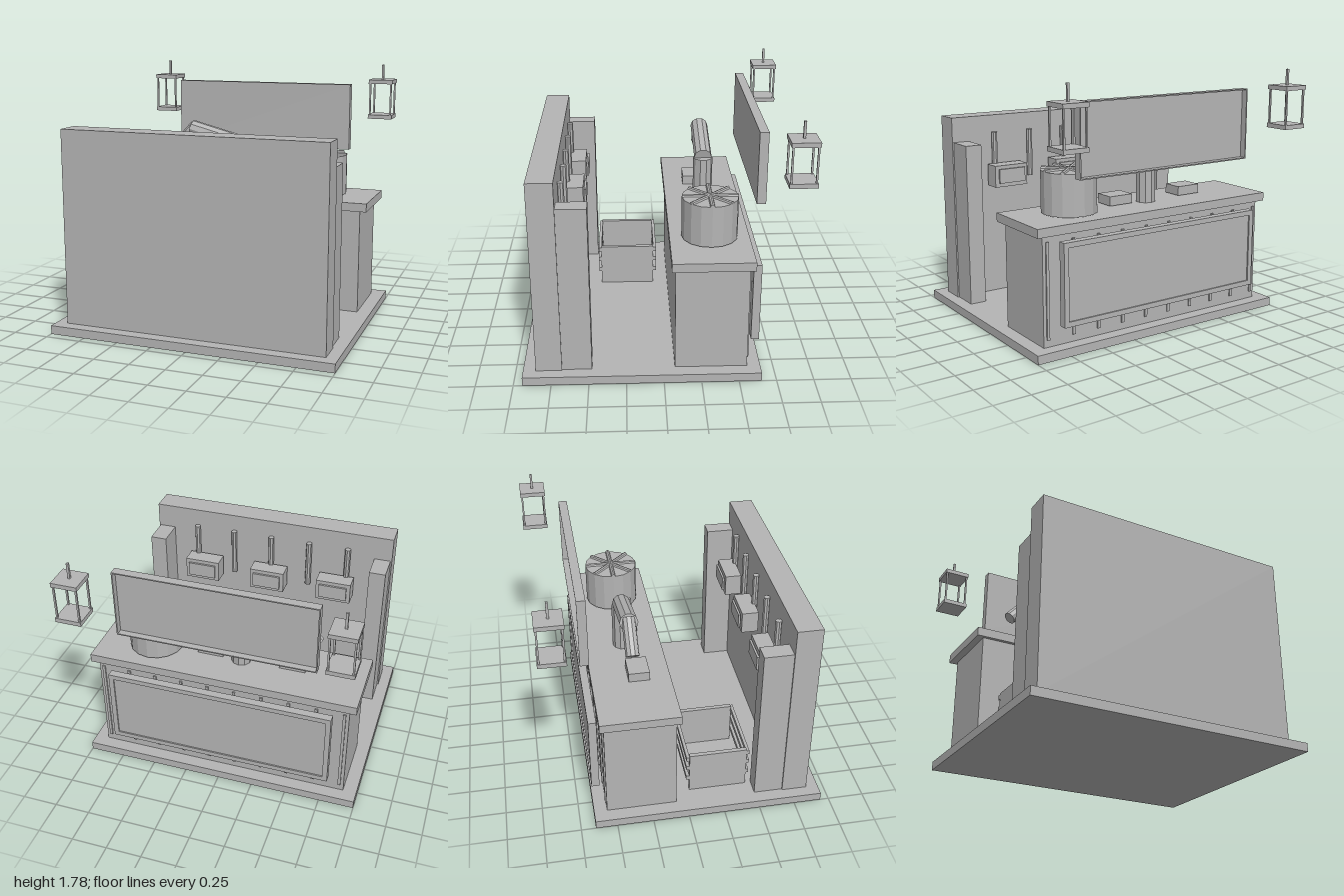
import * as THREE from 'three';

export function createModel() {
  const model = new THREE.Group();
  const grey = new THREE.MeshStandardMaterial({ color: 0xb4b4b4, flatShading: true });
  grey.name = 'plain grey';

  const add = (name, geometry, parent = model) => {
    const mesh = new THREE.Mesh(geometry, grey);
    mesh.name = name;
    parent.add(mesh);
    return mesh;
  };
  // Box given by its two opposite corners
  const box = (name, x0, x1, y0, y1, z0, z1, parent) => {
    const mesh = add(name, new THREE.BoxGeometry(x1 - x0, y1 - y0, z1 - z0), parent);
    mesh.position.set((x0 + x1) / 2, (y0 + y1) / 2, (z0 + z1) / 2);
    return mesh;
  };
  // Faceted rod between two points
  const rod = (name, a, b, radius, sides, parent) => {
    const from = new THREE.Vector3(...a), to = new THREE.Vector3(...b);
    const dir = to.clone().sub(from);
    const mesh = add(name, new THREE.CylinderGeometry(radius, radius, dir.length(), sides), parent);
    mesh.position.copy(from).add(to).multiplyScalar(0.5);
    mesh.quaternion.setFromUnitVectors(new THREE.Vector3(0, 1, 0), dir.normalize());
    return mesh;
  };
  const group = (name) => {
    const g = new THREE.Group();
    g.name = name;
    model.add(g);
    return g;
  };
  // Rectangular rim around an opening
  const rim = (name, x, y0, y1, z0, z1, t, parent) => {
    box(name + 'Bottom', -x, x, y0, y0 + t, z0, z1, parent);
    box(name + 'Top', -x, x, y1 - t, y1, z0, z1, parent);
    for (const s of [-1, 1]) {
      box(name + 'Side', Math.min(s * x, s * (x - t)), Math.max(s * x, s * (x - t)), y0 + t, y1 - t, z0, z1, parent);
    }
  };

  // Floor, wall and the pillars against it
  box('floor', -1, 1, 0, 0.06, -0.65, 0.94);
  box('wall', -0.92, 0.92, 0.06, 1.41, 0.68, 0.855);
  for (const s of [-1, 1]) box('pillar', s * 0.85 - 0.06, s * 0.85 + 0.06, 0.06, 1.23, 0.48, 0.68);

  // Counter with thin slats along its outer face
  const counter = group('counter');
  box('counterBody', -0.905, 0.905, 0.06, 0.8, -0.56, -0.075, counter);
  box('counterTop', -0.955, 0.955, 0.8, 0.86, -0.59, -0.05, counter);
  for (let i = 0; i < 10; i++) {
    const x = -0.873 + i * 0.194;
    box('counterSlat', x - 0.01, x + 0.01, 0.11, 0.76, -0.57, -0.56, counter);
  }

  // Framed board hung on the counter
  const board = group('counterBoard');
  box('boardPanel', -0.765, 0.765, 0.235, 0.725, -0.64, -0.595, board);
  rim('boardFrame', 0.8, 0.2, 0.76, -0.65, -0.595, 0.035, board);
  box('boardMount', -0.05, 0.05, 0.42, 0.445, -0.596, -0.56, board);

  // Sign overhead, hollow on its rear side
  const sign = group('overheadSign');
  box('signFace', -0.69, 0.69, 1.15, 1.64, -0.625, -0.61, sign);
  rim('signRim', 0.69, 1.15, 1.64, -0.67, -0.625, 0.008, sign);

  // Hanging lanterns
  for (const s of [-1, 1]) {
    const lantern = group('lantern');
    lantern.position.set(s * 0.887, 0, -0.85);
    box('lanternBase', -0.09, 0.09, 1.375, 1.405, -0.09, 0.09, lantern);
    box('lanternRoof', -0.09, 0.09, 1.64, 1.67, -0.09, 0.09, lantern);
    box('lanternHanger', -0.008, 0.008, 1.67, 1.78, -0.008, 0.008, lantern);
    for (const x of [-0.078, 0.078]) for (const z of [-0.078, 0.078]) {
      box('lanternPost', x - 0.006, x + 0.006, 1.405, 1.64, z - 0.006, z + 0.006, lantern);
    }
  }

  // Slatted crate, open at the top
  const crate = group('crate');
  for (const x of [-0.79, -0.308]) box('crateSide', x - 0.015, x + 0.015, 0.06, 0.37, 0.035, 0.438, crate);
  for (const y of [0.175, 0.265, 0.345]) {
    for (const z of [0.023, 0.446]) box('crateSlat', -0.805, -0.293, y - 0.016, y + 0.016, z - 0.011, z + 0.011, crate);
  }

  // Wall boxes with front plates, and the rods along the wall
  for (const x of [-0.52, 0, 0.52]) {
    box('wallBox', x - 0.132, x + 0.132, 0.89, 1.05, 0.54, 0.66);
    box('wallBoxPlate', x - 0.105, x + 0.105, 0.92, 1.025, 0.52, 0.535);
  }
  for (let i = -2; i <= 2; i++) rod('wallRod', [i * 0.296, 0.93, 0.66], [i * 0.296, 1.285, 0.66], 0.022, 8);

  // Drum with crossed bars on its lid
  const drum = group('drum');
  drum.position.set(0.555, 0, -0.32);
  rod('drumBody', [0, 0.87, 0], [0, 1.155, 0], 0.19, 16, drum);
  for (let i = 0; i < 4; i++) {
    const c = 0.187 * Math.cos(i * Math.PI / 4), s = 0.187 * Math.sin(i * Math.PI / 4);
    rod('drumBar', [-c, 1.155, -s], [c, 1.155, s], 0.016, 8, drum);
  }

  // Jointed arm standing on the counter
  const arm = group('arm');
  rod('armColumn', [-0.075, 0.86, -0.32], [-0.075, 1.19, -0.32], 0.07, 10, arm);
  rod('upperArm', [-0.06, 1.195, -0.32], [-0.47, 1.3, -0.32], 0.063, 10, arm);
  rod('forearm', [-0.44, 1.32, -0.32], [-0.615, 1.13, -0.32], 0.046, 10, arm);

  // Small blocks on the counter
  for (const x of [-0.447, 0.147, 0.478]) box('counterBlock', x - 0.092, x + 0.092, 0.865, 0.93, -0.34, -0.195);

  return model;
}
